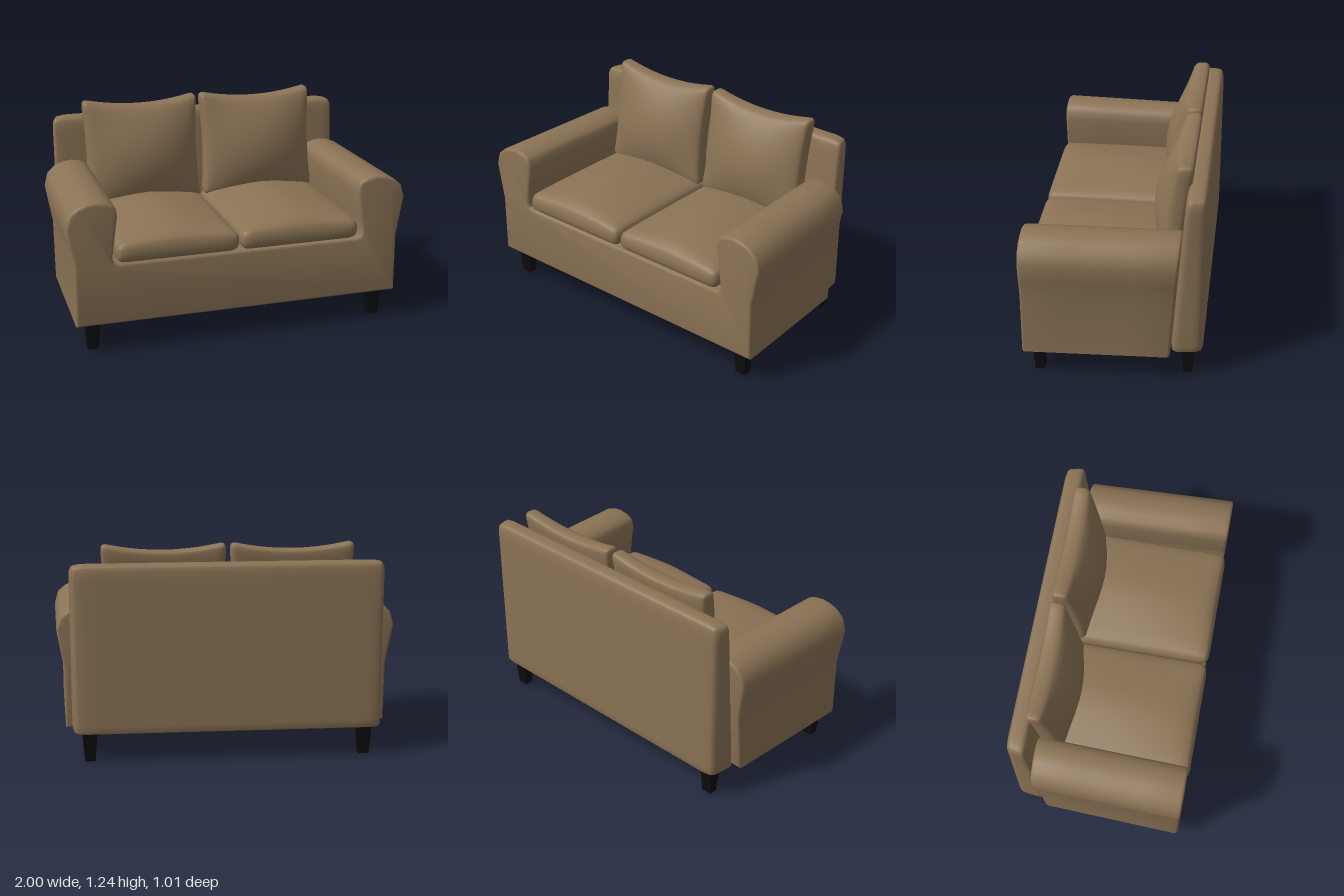
import * as THREE from 'three';
import { mergeVertices, toCreasedNormals } from 'three/addons/utils/BufferGeometryUtils.js';

// Box with rounded edges and a fine grid, shaped further by deform(p, u, v, w) with u, v, w in -1..1
function softBox(width, height, depth, radius, segs, deform) {
  let geo = new THREE.BoxGeometry(2, 2, 2, ...segs);
  geo.deleteAttribute('uv');
  geo.deleteAttribute('normal');
  geo = mergeVertices(geo);
  const half = new THREE.Vector3(width, height, depth).multiplyScalar(0.5);
  const inner = half.clone().subScalar(radius);
  const pos = geo.attributes.position;
  const p = new THREE.Vector3(), core = new THREE.Vector3();
  const ease = (t) => Math.sin(t * Math.PI / 2);
  for (let i = 0; i < pos.count; i++) {
    p.fromBufferAttribute(pos, i);
    p.set(ease(p.x), ease(p.y), ease(p.z)).multiply(half);
    core.copy(p).clamp(inner.clone().negate(), inner);
    p.sub(core).normalize().multiplyScalar(radius).add(core);
    deform(p, p.x / half.x, p.y / half.y, p.z / half.z);
    pos.setXYZ(i, p.x, p.y, p.z);
  }
  geo.computeVertexNormals();
  return geo;
}

// Base and both arms as one U-shaped section, narrowing towards the rear
function bodyGeometry() {
  const side = [
    [0.96, 0.165], [0.96, 0.52], [0.982, 0.64], [1.0, 0.745], [0.978, 0.82],
    [0.93, 0.86], [0.88, 0.878], [0.83, 0.885], [0.775, 0.877], [0.735, 0.86], [0.717, 0.835],
    [0.712, 0.79], [0.735, 0.62], [0.745, 0.55], [0.735, 0.525], [0.71, 0.515],
  ];
  const outline = [...side, ...side.map(([x, y]) => [-x, y]).reverse()];
  const shape = new THREE.Shape(outline.map(([x, y]) => new THREE.Vector2(x, y)));
  const bevel = 0.016, front = 0.495, length = 0.82;
  const geo = new THREE.ExtrudeGeometry(shape, {
    depth: length - 2 * bevel, steps: 4, bevelEnabled: true,
    bevelThickness: bevel, bevelSize: bevel, bevelOffset: -bevel, bevelSegments: 3,
  });
  geo.translate(0, 0, front - length + bevel);
  const pos = geo.attributes.position;
  for (let i = 0; i < pos.count; i++) {
    const y = pos.getY(i), z = pos.getZ(i), t = (front - z) / length;
    pos.setX(i, pos.getX(i) * (1 - 0.035 * t));
    pos.setZ(i, z - (y - 0.165) * 0.07 * t);
  }
  return toCreasedNormals(geo, 0.75);
}

export function createModel() {
  const group = new THREE.Group();
  const fabric = new THREE.MeshStandardMaterial({ color: 0x8b7355 });
  fabric.name = 'tan fabric';
  const legBlack = new THREE.MeshStandardMaterial({ color: 0x0b0b0b });
  legBlack.name = 'black leg';
  const add = (name, geo, mat, x = 0, y = 0, z = 0) => {
    const mesh = new THREE.Mesh(geo, mat);
    mesh.name = name;
    mesh.position.set(x, y, z);
    group.add(mesh);
    return mesh;
  };

  add('baseAndArms', bodyGeometry(), fabric);

  // Backrest: upright rear, sloping front, tighter rounding along the bottom
  const backHeight = 0.97;
  add('backrest', softBox(1.79, backHeight, 0.18, 0.05, [16, 16, 10], (p, u, v, w) => {
    const low = -backHeight / 2 + 0.05;
    if (p.y < low) p.y = -backHeight / 2 + (p.y + backHeight / 2) * 0.4;
    else p.y += -0.03 * (0.435 - p.y) / 0.87;
    p.x *= 0.9875 + 0.0125 * w;
    p.z -= (p.y + backHeight / 2) * 0.07 * (w + 1) / 2;
  }), fabric, 0, 0.165 + backHeight / 2, -0.415);

  // Seat cushions with a crowned top
  const seat = softBox(0.717, 0.117, 0.882, 0.05, [16, 8, 16], (p, u, v, w) => {
    if (v > 0) p.y += 0.07 * v * (1 - Math.abs(u) ** 1.5) * Math.sqrt(Math.max(0, 1 - w * w));
  });
  // Back pillows: full front, raised corners, pinched sides, leaning backwards
  const pillow = softBox(0.71, 0.58, 0.1, 0.035, [16, 16, 8], (p, u, v, w) => {
    const bulge = Math.max(0, (1 - u * u) * (1 - v * v));
    p.x *= 1 - 0.05 * (1 - v * v);
    if (v > 0) p.y += 0.045 * u * u * v * v;
    if (w > 0) p.z += 0.09 * bulge * w;
    p.z -= (p.y + 0.29) * 0.145;
  });
  for (const [label, s] of [['left', 1], ['right', -1]]) {
    add(label + 'SeatCushion', seat, fabric, s * 0.362, 0.573, 0.065);
    add(label + 'BackPillow', pillow, fabric, s * 0.363 - 0.004, 0.908, -0.288);
  }

  // Tapered square legs, the rear pair set further in
  const leg = new THREE.CylinderGeometry(0.056, 0.04, 0.175, 4).toNonIndexed();
  leg.rotateY(Math.PI / 4);
  leg.scale(1.08, 1, 0.88);
  leg.computeVertexNormals();
  for (const s of [1, -1]) {
    const label = s > 0 ? 'left' : 'right';
    add(label + 'FrontLeg', leg, legBlack, s * 0.855, 0.0875, 0.41);
    add(label + 'RearLeg', leg, legBlack, s * 0.79, 0.0875, -0.422);
  }
  return group;
}
